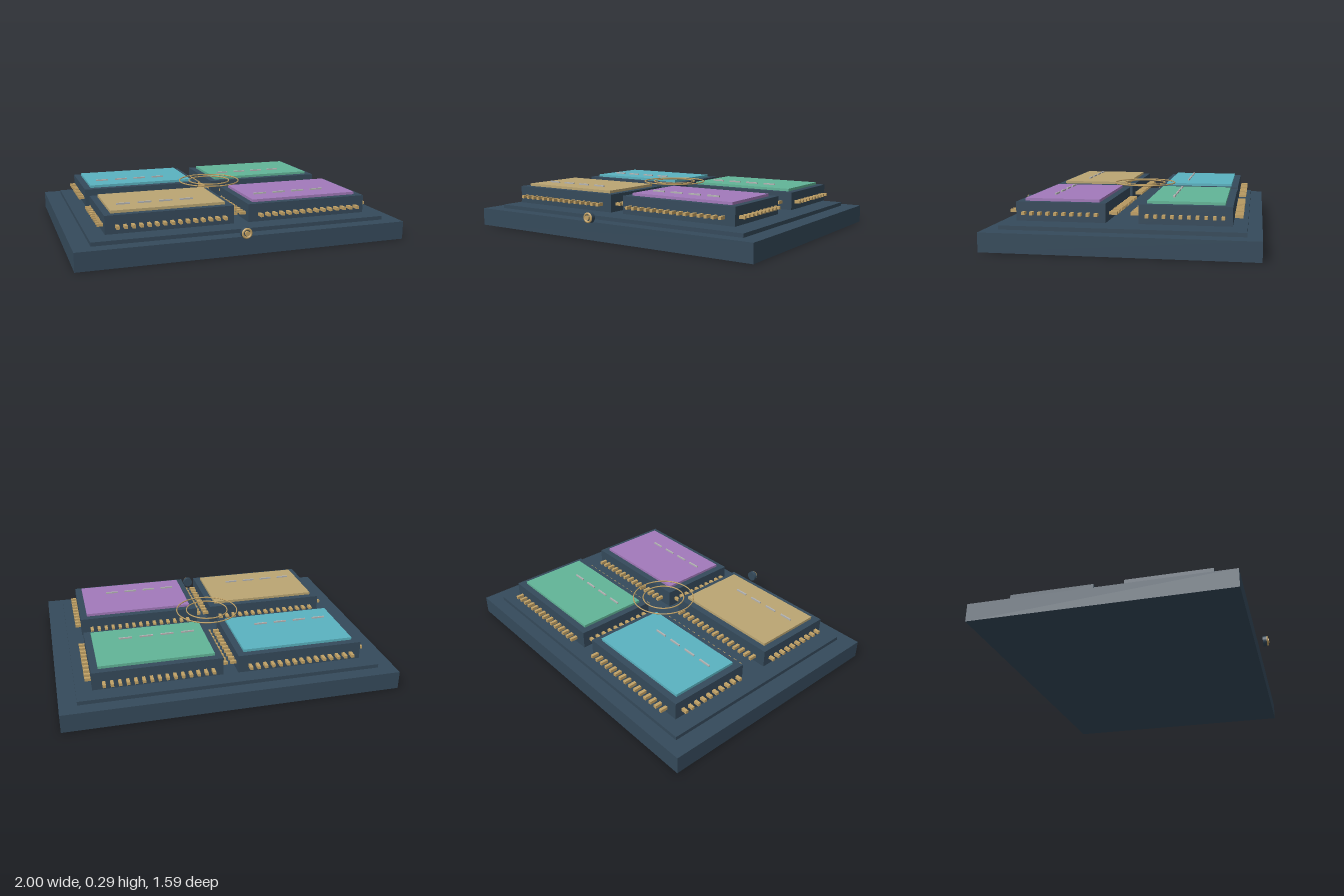
import * as THREE from 'three';

const mat = (name, color) => {
  const m = new THREE.MeshStandardMaterial({ color });
  m.name = name;
  return m;
};

export function createModel() {
  const slate = mat('slate', 0x354a5b);
  const gold = mat('gold', 0xc2a266);
  const silver = mat('silver', 0xb4b4b4);
  const teal = mat('teal', 0x5ab3c1);
  const green = mat('green', 0x62b598);
  const sand = mat('sand', 0xbba673);
  const purple = mat('purple', 0xa27abb);

  const model = new THREE.Group();
  model.name = 'circuitBoard';

  const add = (parent, name, geometry, material, x, y, z) => {
    const mesh = new THREE.Mesh(geometry, material);
    mesh.name = name;
    mesh.position.set(x, y, z);
    parent.add(mesh);
    return mesh;
  };
  const box = (w, h, d) => new THREE.BoxGeometry(w, h, d);

  // Stepped base
  add(model, 'base', box(2, 0.11, 1.527), slate, 0, 0.055, -0.035);
  add(model, 'upperPlate', box(1.795, 0.024, 1.365), slate, 0, 0.121, -0.035);

  // One chip: body, coloured lid, dashes and pins on all four sides
  const pinAcross = box(0.035, 0.018, 0.018);
  const pinAlong = box(0.018, 0.018, 0.046);
  const dash = box(0.08, 0.009, 0.009);
  const addChip = (name, x, z, lidColor) => {
    const chip = new THREE.Group();
    chip.name = name;
    chip.position.set(x, 0, z);
    model.add(chip);
    add(chip, 'body', box(0.76, 0.108, 0.514), slate, 0, 0.201, 0);
    add(chip, 'lid', box(0.676, 0.016, 0.43), lidColor, 0, 0.263, 0);
    for (let i = 0; i < 4; i++) {
      add(chip, 'dash', dash, silver, -0.24 + i * 0.127, 0.2755, 0.085);
    }
    for (const side of [-1, 1]) {
      for (let i = 0; i < 15; i++) {
        add(chip, 'pin', pinAlong, gold, -0.314 + i * 0.0449, 0.194, side * 0.288);
      }
      for (let i = 0; i < 10; i++) {
        add(chip, 'pin', pinAcross, gold, side * 0.3985, 0.194, -0.207 + i * 0.046);
      }
    }
  };
  addChip('backRightChip', -0.425, -0.382, teal);
  addChip('backLeftChip', 0.425, -0.382, green);
  addChip('frontRightChip', -0.425, 0.315, sand);
  addChip('frontLeftChip', 0.425, 0.315, purple);

  // Two thin rings hovering over the middle
  for (const radius of [0.195, 0.132]) {
    const ring = add(model, 'centreRing', new THREE.TorusGeometry(radius, 0.004, 6, 48), gold, 0, 0.283, -0.035);
    ring.rotation.x = Math.PI / 2;
  }

  // Round button in front of the base
  const button = new THREE.Group();
  button.name = 'button';
  button.position.set(-0.045, 0.144, 0);
  model.add(button);
  const disc = (name, r, depth, material, z) => {
    add(button, name, new THREE.CylinderGeometry(r, r, depth, 24), material, 0, 0, z).rotation.x = Math.PI / 2;
  };
  disc('buttonBody', 0.032, 0.024, slate, 0.769);
  add(button, 'buttonRim', new THREE.TorusGeometry(0.025, 0.007, 8, 24), gold, 0, 0, 0.782);
  disc('buttonCentre', 0.014, 0.014, gold, 0.787);

  return model;
}
